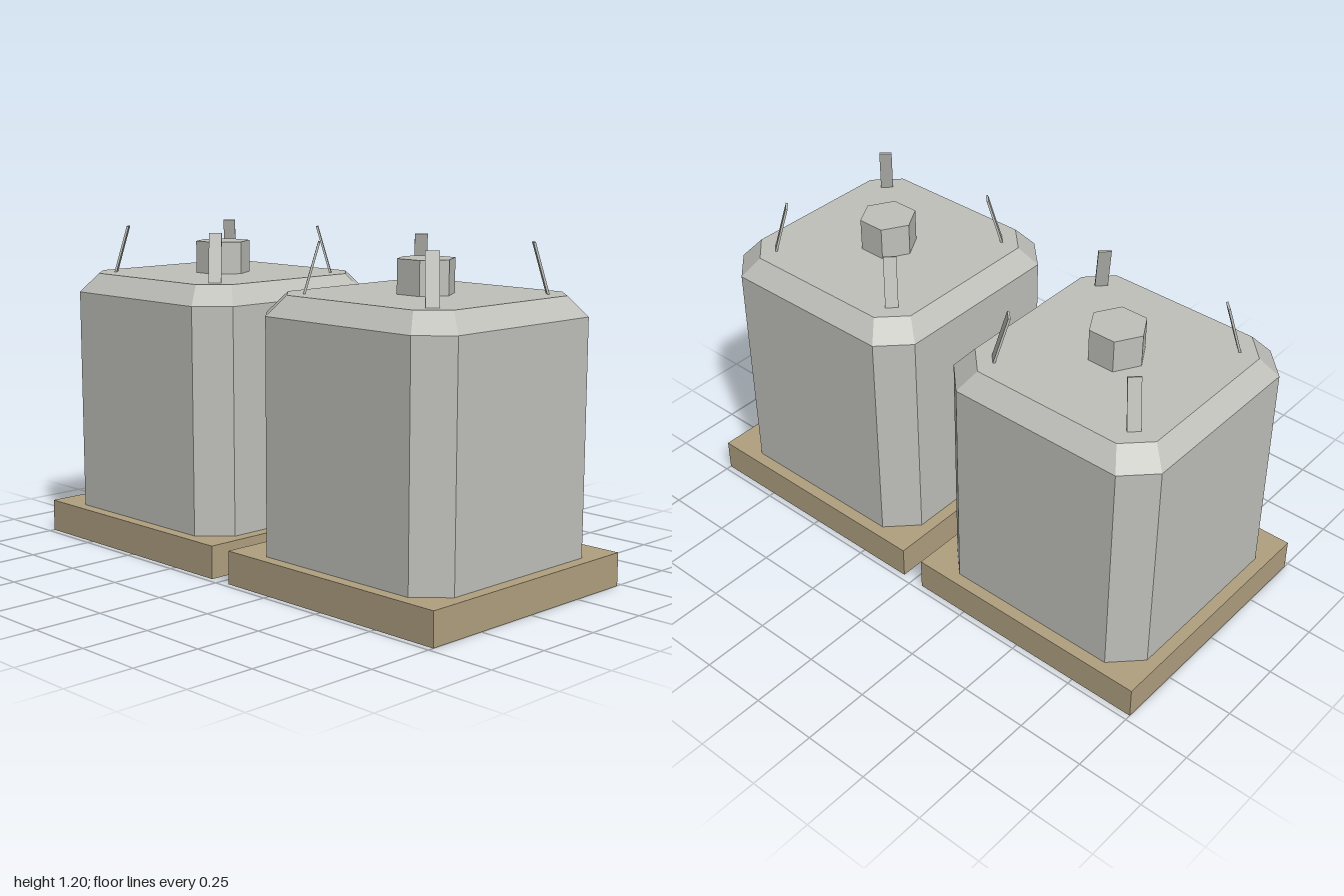
import * as THREE from 'three';

const grey = new THREE.MeshStandardMaterial({ color: 0xc0c0bb });
grey.name = 'paleGrey';
const tan = new THREE.MeshStandardMaterial({ color: 0xb0a080, side: THREE.DoubleSide });
tan.name = 'tan';

const BASE = 0.12, SHOULDER = 0.95, TOP = 1.02;

function part(name, geometry, material) {
  const mesh = new THREE.Mesh(geometry, material);
  mesh.name = name;
  return mesh;
}

// Square with cut corners, half width a, half flat length b
function octagon(a, b, y) {
  return [[a, -b], [a, b], [b, a], [-b, a], [-a, b], [-a, -b], [-b, -a], [b, -a]]
    .map(([x, z]) => new THREE.Vector3(x, y, z));
}

// Faceted tank: straight walls, sloping shoulder, flat lid
function tankGeometry() {
  const rings = [
    octagon(0.433, 0.33, BASE),
    octagon(0.433, 0.33, SHOULDER),
    octagon(0.375, 0.286, TOP),
  ];
  const points = [];
  for (let i = 0; i < 8; i++) {
    const j = (i + 1) % 8;
    for (let r = 0; r < 2; r++) {
      const lo = rings[r], hi = rings[r + 1];
      points.push(lo[i], hi[i], lo[j], hi[i], hi[j], lo[j]);
    }
    points.push(new THREE.Vector3(0, TOP, 0), rings[2][j], rings[2][i]);
  }
  const geometry = new THREE.BufferGeometry().setFromPoints(points);
  geometry.computeVertexNormals();
  return geometry;
}

// Shallow tray, open underneath: a box without its bottom face
function trayGeometry() {
  const geometry = new THREE.BoxGeometry(0.956, BASE, 0.956);
  const index = Array.from(geometry.index.array);
  index.splice(18, 6);
  geometry.setIndex(index);
  geometry.clearGroups();
  return geometry.translate(0, BASE / 2, 0);
}

function createTank() {
  const tank = new THREE.Group();
  tank.add(part('base', trayGeometry(), tan));
  tank.add(part('body', tankGeometry(), grey));

  // Hexagonal cap with corners pointing sideways
  const capGeometry = new THREE.CylinderGeometry(0.103, 0.103, 0.12, 6).toNonIndexed();
  capGeometry.computeVertexNormals();
  const cap = part('cap', capGeometry, grey);
  cap.rotation.y = Math.PI / 2;
  cap.position.y = TOP + 0.06;
  tank.add(cap);

  // Four flat lifting lugs on the diagonals, leaning inwards
  const lugGeometry = new THREE.BoxGeometry(0.008, 0.19, 0.046);
  for (let i = 0; i < 4; i++) {
    const corner = new THREE.Group();
    corner.name = 'liftingLug';
    corner.rotation.y = Math.PI / 4 + i * Math.PI / 2;
    const lug = part('lug', lugGeometry, grey);
    lug.position.set(0.386, 1.103, 0);
    lug.rotation.z = 0.28;
    corner.add(lug);
    tank.add(corner);
  }
  return tank;
}

export function createModel() {
  const model = new THREE.Group();
  model.name = 'twinTanks';
  for (const side of [-1, 1]) {
    const tank = createTank();
    tank.name = side < 0 ? 'rightTank' : 'leftTank';
    tank.position.x = side * 0.522;
    model.add(tank);
  }
  return model;
}
